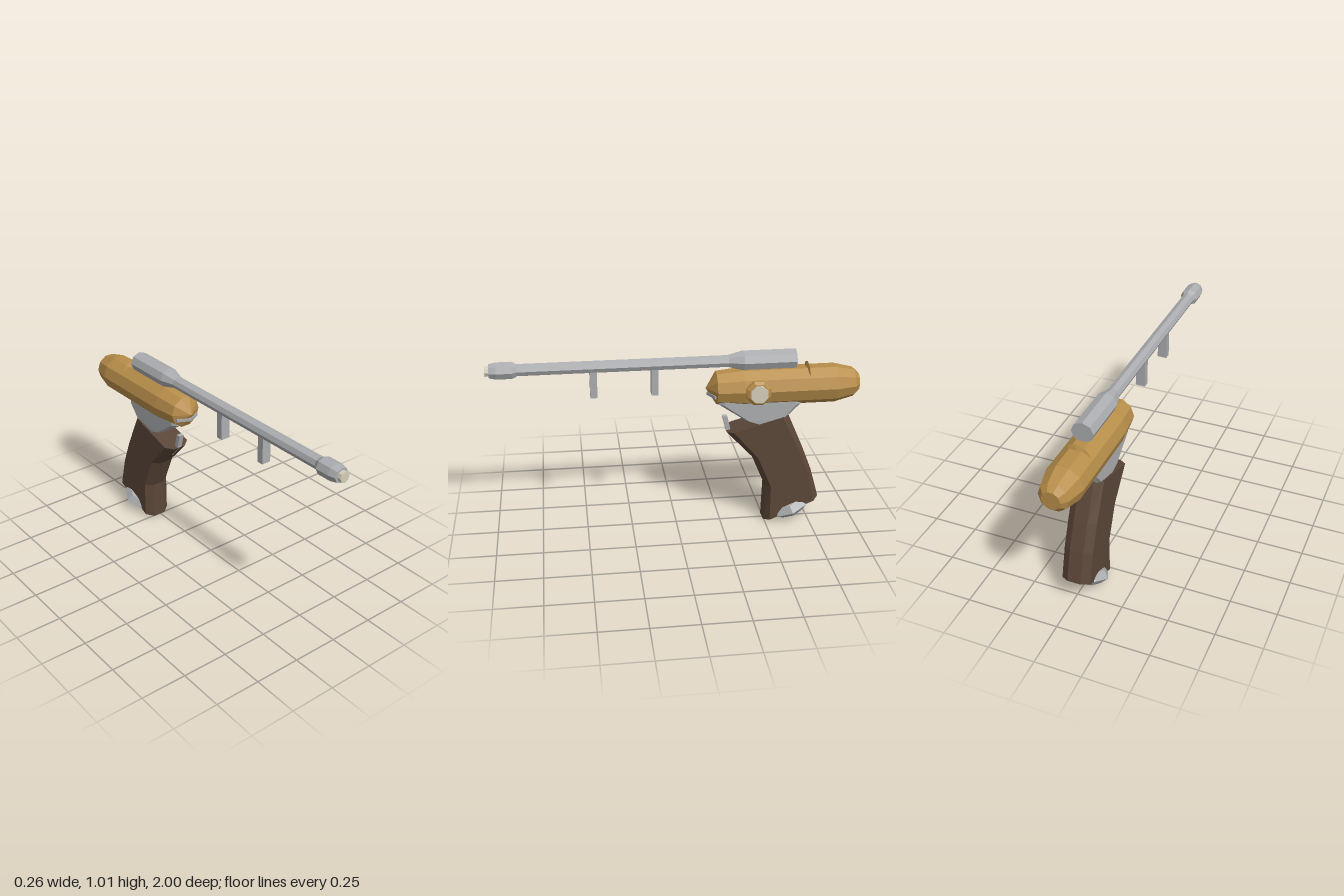
import * as THREE from 'three';

const CX = -0.008; // centre plane of the body

const paint = (name, hex) => {
  const m = new THREE.MeshStandardMaterial({ color: hex });
  m.name = name;
  return m;
};

// Faceted normals for the low-poly look
function facet(geo) {
  const g = geo.index ? geo.toNonIndexed() : geo;
  g.computeVertexNormals();
  return g;
}

// Turned shape from [radius, height] pairs, rising along y
function turned(profile, sides, start = 0) {
  const pts = profile.map(([r, h]) => new THREE.Vector2(r, h));
  return new THREE.LatheGeometry(pts, sides, start);
}

// Closed skin over equal rings, listed bottom to top, each counterclockwise from above
function loft(rings) {
  const pos = [], n = rings[0].length;
  const tri = (...p) => p.forEach((v) => pos.push(v.x, v.y, v.z));
  for (let k = 0; k < rings.length - 1; k++) {
    const a = rings[k], b = rings[k + 1];
    for (let i = 0; i < n; i++) {
      const j = (i + 1) % n;
      tri(a[i], a[j], b[j]);
      tri(a[i], b[j], b[i]);
    }
  }
  const lo = rings[0], hi = rings[rings.length - 1];
  for (let i = 1; i < n - 1; i++) {
    tri(lo[0], lo[i + 1], lo[i]);
    tri(hi[0], hi[i], hi[i + 1]);
  }
  const g = new THREE.BufferGeometry();
  g.setAttribute('position', new THREE.Float32BufferAttribute(pos, 3));
  return g;
}

// Chamfered section between a front point and a back point
function section([zf, yf], [zb, yb], half, narrow, chamfer) {
  const at = (x, t) => new THREE.Vector3(x, yf + (yb - yf) * t, zf + (zb - zf) * t);
  return [
    at(-narrow, 0), at(narrow, 0), at(half, chamfer), at(half, 1 - chamfer),
    at(narrow, 1), at(-narrow, 1), at(-half, 1 - chamfer), at(-half, chamfer),
  ];
}

export function createModel() {
  const group = new THREE.Group();
  const gold = paint('gold', 0xb88e4a);
  const steel = paint('steel', 0xacadb0);
  const brown = paint('brown', 0x5b4638);
  const cream = paint('cream', 0xd4cdb9);

  const add = (name, geo, mat, x = CX, y = 0, z = 0) => {
    const mesh = new THREE.Mesh(facet(geo), mat);
    mesh.name = name;
    mesh.position.set(x, y, z);
    group.add(mesh);
    return mesh;
  };

  // Barrel with rear sleeve and swollen muzzle
  const barrel = turned([
    [0, -0.645], [0.059, -0.645], [0.059, -0.36], [0.036, -0.28], [0.036, 0.835],
    [0.051, 0.86], [0.051, 0.94], [0.042, 0.978], [0, 0.978],
  ], 8).rotateX(Math.PI / 2).scale(1, 0.94, 1);
  add('barrel', barrel, steel, CX, 0.968);
  const tip = turned([[0, 0.97], [0.029, 0.97], [0.029, 1], [0, 1]], 8).rotateX(Math.PI / 2);
  add('muzzleTip', tip, cream, CX, 0.968);

  // Posts under the barrel
  for (const z of [0.44, 0.115]) {
    add('barrelPost', new THREE.BoxGeometry(0.052, 0.15, 0.038), steel, CX, 0.875, z);
  }

  // Ten-sided main body
  const body = turned([
    [0, -1], [0.05, -1], [0.08, -0.97], [0.106, -0.865], [0.106, -0.36],
    [0.09, -0.215], [0, -0.16],
  ], 10, Math.PI / 2).rotateX(Math.PI / 2);
  add('body', body, gold, CX, 0.819);

  // Lens-shaped rear sight
  const sight = turned([[0, -0.018], [0.052, -0.012], [0.08, 0], [0.052, 0.012], [0, 0.018]], 10)
    .rotateX(Math.PI / 2);
  add('rearSight', sight, gold, CX, 0.867, -0.715);

  // Side dial on the left
  const onSide = (profile) => turned(profile, 8, Math.PI / 8).rotateZ(-Math.PI / 2);
  add('dialBase', onSide([[0, 0.06], [0.062, 0.07], [0.071, 0.085], [0.071, 0.105], [0.055, 0.115], [0, 0.115]]),
    gold, 0, 0.819, -0.43);
  add('dialNeck', onSide([[0.02, 0.11], [0.02, 0.12]]), gold, 0, 0.819, -0.43);
  add('dialFace', onSide([[0, 0.117], [0.05, 0.117], [0.05, 0.13], [0, 0.13]]), cream, 0, 0.819, -0.43);

  // Housing between body and grip
  const housing = loft([
    section([-0.46, 0.612], [-0.515, 0.612], 0.068, 0.045, 0.1),
    section([-0.375, 0.638], [-0.595, 0.645], 0.07, 0.05, 0.08),
    section([-0.225, 0.74], [-0.675, 0.725], 0.07, 0.05, 0.06),
    section([-0.225, 0.8], [-0.66, 0.8], 0.07, 0.05, 0.06),
  ]);
  add('housing', housing, steel);

  // Pointed lip under the nose
  const lip = (y) => [[-0.07, -0.2], [0, -0.165], [0.07, -0.2], [0.07, -0.32], [-0.07, -0.32]]
    .map(([x, z]) => new THREE.Vector3(x, y, z));
  add('noseLip', loft([lip(0.78), lip(0.797)]), steel);

  // Grip
  const grip = loft([
    [[-0.495, 0.012], [-0.806, 0.145]],
    [[-0.5, 0.225], [-0.757, 0.316]],
    [[-0.42, 0.412], [-0.7, 0.46]],
    [[-0.275, 0.568], [-0.61, 0.665]],
  ].map(([f, b]) => section(f, b, 0.078, 0.037, 0.1)));
  add('grip', grip, brown);

  // Rounded cap under the grip
  const cap = turned([[0, -0.055], [0.085, -0.035], [0.122, 0], [0.095, 0.04], [0, 0.045]], 8);
  add('gripCap', cap, steel, CX, 0.08, -0.65).rotation.x = 0.4;

  // Trigger blade and its thin tail
  const bar = (y, zf, zb, w) => [[-w, zf], [w, zf], [w, zb], [-w, zb]]
    .map(([x, z]) => new THREE.Vector3(x, y, z));
  add('trigger', loft([bar(0.57, -0.275, -0.3, 0.014), bar(0.652, -0.253, -0.28, 0.015)]), steel);
  add('triggerTail', loft([bar(0.49, -0.342, -0.355, 0.002), bar(0.575, -0.268, -0.295, 0.006)]), steel);

  return group;
}
